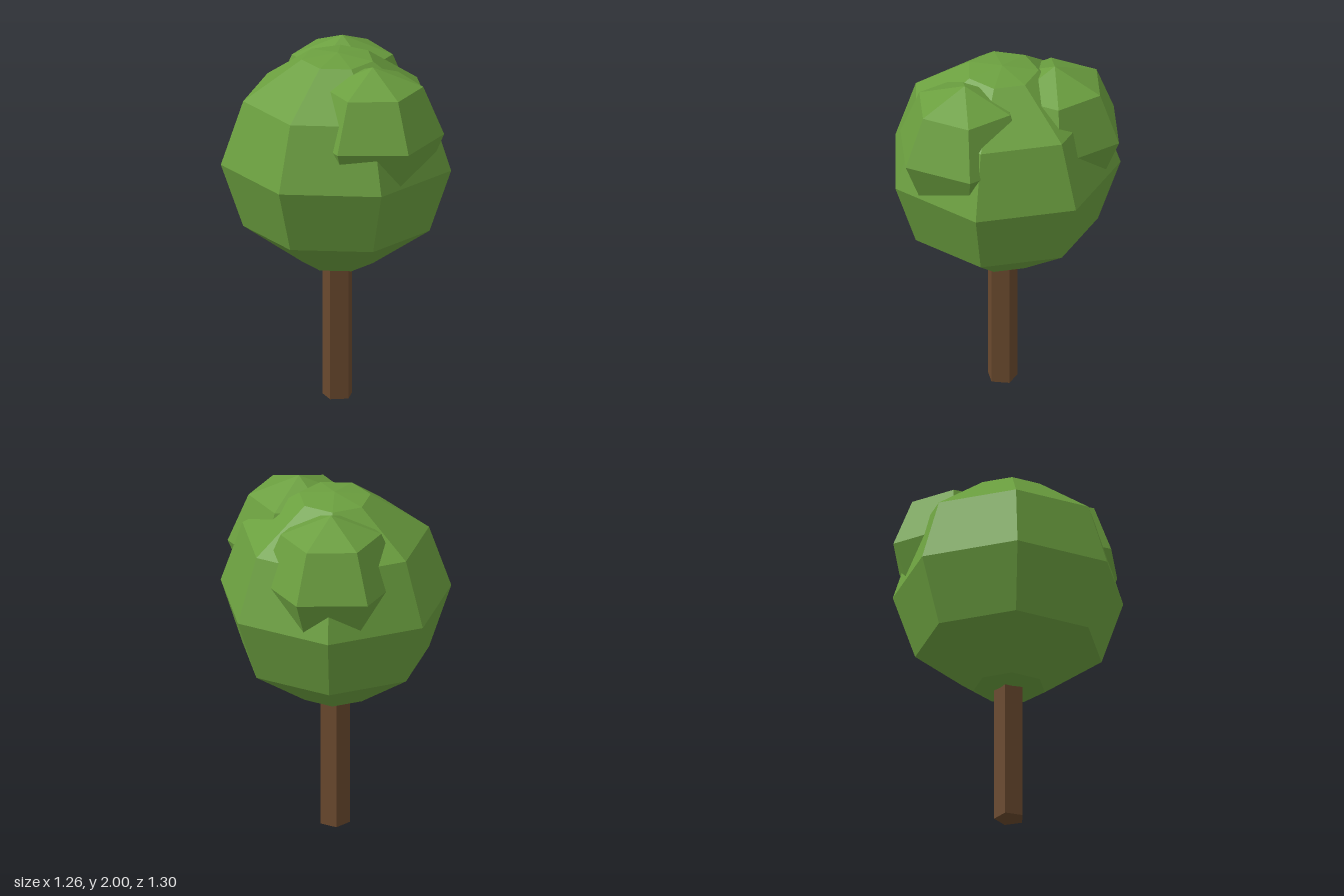
import * as THREE from 'three';

const leafGreen = new THREE.MeshStandardMaterial({ color: 0x6b9f3f, flatShading: true });
const barkBrown = new THREE.MeshStandardMaterial({ color: 0x6a492e, flatShading: true });

// Faceted ball with a corner facing +z, its rings set by latitude in degrees
function foliageBall(name, radius, height, sides, latitudes, x, y, z) {
  const profile = latitudes.map((deg) => {
    const a = THREE.MathUtils.degToRad(deg);
    return new THREE.Vector2(Math.max(0, radius * Math.cos(a)), height * Math.sin(a));
  });
  const ball = new THREE.Mesh(new THREE.LatheGeometry(profile, sides), leafGreen);
  ball.name = name;
  ball.position.set(x, y, z);
  return ball;
}

export function createModel() {
  const tree = new THREE.Group();
  tree.name = 'tree';

  // Five-sided trunk, running a little way into the crown
  const trunk = new THREE.Mesh(new THREE.CylinderGeometry(0.085, 0.085, 0.85, 5), barkBrown);
  trunk.name = 'trunk';
  trunk.position.y = 0.425;
  tree.add(trunk);

  // Seven-sided main crown
  tree.add(foliageBall('crown', 0.648, 0.62, 7, [-90, -72, -36, 0, 36, 72, 90], 0, 1.38, 0));

  // Two smaller six-sided clumps pushing out of the crown
  const rings = [-90, -45, 0, 45, 90];
  tree.add(foliageBall('leftClump', 0.39, 0.39, 6, rings, 0.275, 1.605, 0.095));
  tree.add(foliageBall('backClump', 0.39, 0.39, 6, rings, -0.122, 1.605, -0.261));

  return tree;
}
